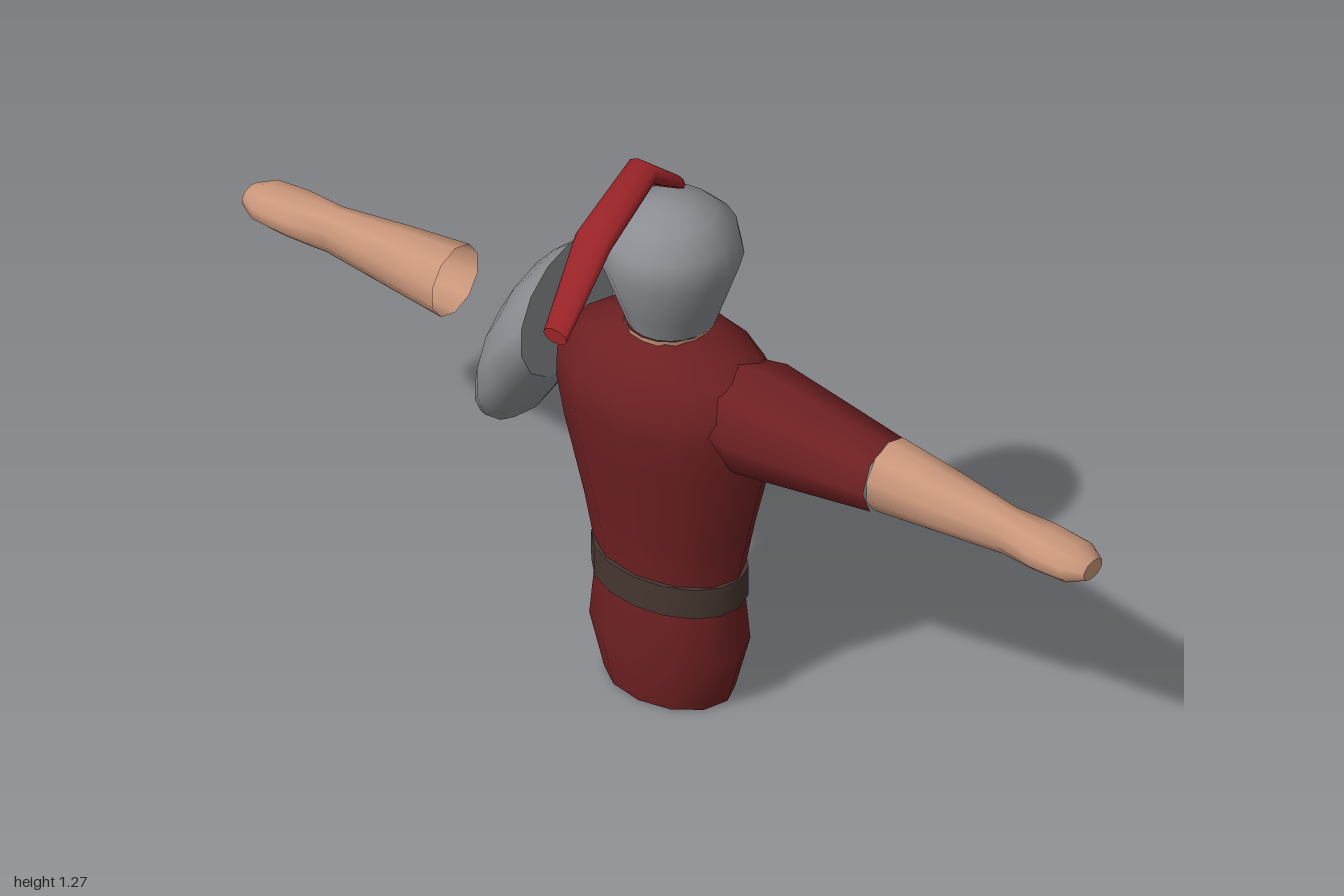
import * as THREE from 'three';

const mat = (name, color, side = THREE.FrontSide) => {
  const m = new THREE.MeshStandardMaterial({ color, side });
  m.name = name;
  return m;
};

// Loft of elliptical sections [t, ru, rv, cu, cv], listed with t ascending.
// Axis 'y': u = x, v = z.  Axis 'x': u = z, v = y.  Axis 'z': u = y, v = x.
function loft(axis, sections, sides, capStart, capEnd) {
  const pos = [], idx = [];
  const put = (t, u, v) => pos.push(...(axis === 'y' ? [u, t, v] : axis === 'x' ? [t, v, u] : [v, u, t]));
  const ring = ([t, ru, rv, cu, cv]) => {
    const start = pos.length / 3;
    for (let i = 0; i < sides; i++) {
      const a = (i / sides) * Math.PI * 2;
      put(t, cu + ru * Math.sin(a), cv + rv * Math.cos(a));
    }
    return start;
  };
  sections.forEach(ring);
  for (let s = 0; s < sections.length - 1; s++) {
    for (let i = 0; i < sides; i++) {
      const j = (i + 1) % sides, a = s * sides, b = a + sides;
      idx.push(a + i, a + j, b + j, a + i, b + j, b + i);
    }
  }
  // Caps get their own vertices so that their edges stay sharp
  const cap = (section, flip) => {
    const c = ring(section);
    for (let i = 1; i < sides - 1; i++) idx.push(c, flip ? c + i + 1 : c + i, flip ? c + i : c + i + 1);
  };
  if (capStart) cap(sections[0], true);
  if (capEnd) cap(sections[sections.length - 1], false);
  const g = new THREE.BufferGeometry();
  g.setAttribute('position', new THREE.Float32BufferAttribute(pos, 3));
  g.setIndex(idx);
  g.computeVertexNormals();
  return g;
}

export function createModel() {
  const group = new THREE.Group();
  const cloth = mat('dark red cloth', 0x6e2022);
  const plume = mat('bright red plume', 0x982327);
  const steel = mat('grey steel', 0x8b8d92);
  const skin = mat('skin', 0xc9967a, THREE.DoubleSide);
  const leather = mat('brown leather', 0x463630);
  const add = (name, geometry, material) => {
    const m = new THREE.Mesh(geometry, material);
    m.name = name;
    group.add(m);
  };
  const Z = -0.098, ARM_Y = 0.69;
  const upright = rows => rows.map(([y, rx, rz]) => [y, rx, rz, 0, Z]);

  // Tunic
  add('torso', loft('y', upright([
    [0, 0.137, 0.1], [0.12, 0.17, 0.118], [0.23, 0.16, 0.108], [0.3, 0.163, 0.108],
    [0.4, 0.183, 0.12], [0.58, 0.225, 0.152], [0.67, 0.241, 0.163], [0.73, 0.24, 0.16],
    [0.79, 0.195, 0.13], [0.815, 0.14, 0.108], [0.847, 0.085, 0.085],
  ]), 12, true, true), cloth);

  // Belt
  add('belt', loft('y', upright([[0.232, 0.166, 0.115], [0.3, 0.167, 0.115]]), 16, true, true), leather);

  // Neck and helmet
  add('neck', loft('y', upright([[0.83, 0.085, 0.086], [0.853, 0.088, 0.09]]), 16, false, false), skin);
  add('helmet', loft('y', [
    [0.85, 0.086, 0.09], [0.9, 0.103, 0.108], [0.995, 0.135, 0.142], [1.052, 0.124, 0.131],
    [1.095, 0.085, 0.088], [1.113, 0.04, 0.04], [1.116, 0.005, 0.005],
  ].map(([y, rx, rz]) => [y, rx, rz, 0, -0.105]), 20, true, true), steel);

  // Curved plume above the helmet
  add('plume', loft('z', [
    [-0.12, 0.016, 0.021, 1.155, 0], [-0.01, 0.028, 0.035, 1.243, 0],
    [0.145, 0.028, 0.042, 1.167, 0], [0.265, 0.016, 0.028, 1.015, 0],
  ], 10, true, true), plume);

  // Left sleeve
  add('leftSleeve', loft('x', [
    [0.13, 0.1, 0.1], [0.215, 0.118, 0.113], [0.35, 0.1, 0.096], [0.515, 0.077, 0.076],
  ].map(([x, rz, ry]) => [x, rz, ry, -0.1, ARM_Y + 0.01]), 8, true, false), cloth);

  // Bare forearms, open at the elbow
  const forearm = [
    [0.515, 0.075, 0.075, 0.7], [0.65, 0.061, 0.063, 0.698], [0.8, 0.042, 0.049, 0.694],
    [0.89, 0.058, 0.043, 0.693], [0.96, 0.054, 0.038, 0.691], [1, 0.03, 0.02, 0.69],
  ].map(([x, rz, ry, y]) => [x, rz, ry, -0.105, y]);
  add('leftForearm', loft('x', forearm, 10, false, true), skin);
  add('rightForearm', loft('x', forearm.map(([x, ...r]) => [-x, ...r]).reverse(), 10, true, false), skin);

  // Slanted domed plate by the right shoulder: [x, bottom, top, half depth]
  add('shoulderPlate', loft('x', [
    [-0.4, 0.455, 0.63, 0.09], [-0.36, 0.462, 0.755, 0.138], [-0.32, 0.49, 0.83, 0.16],
    [-0.28, 0.555, 0.878, 0.163], [-0.242, 0.62, 0.91, 0.155],
  ].map(([x, lo, hi, rz]) => [x, rz, (hi - lo) / 2, -0.102, (hi + lo) / 2]), 14, true, true), steel);

  return group;
}
